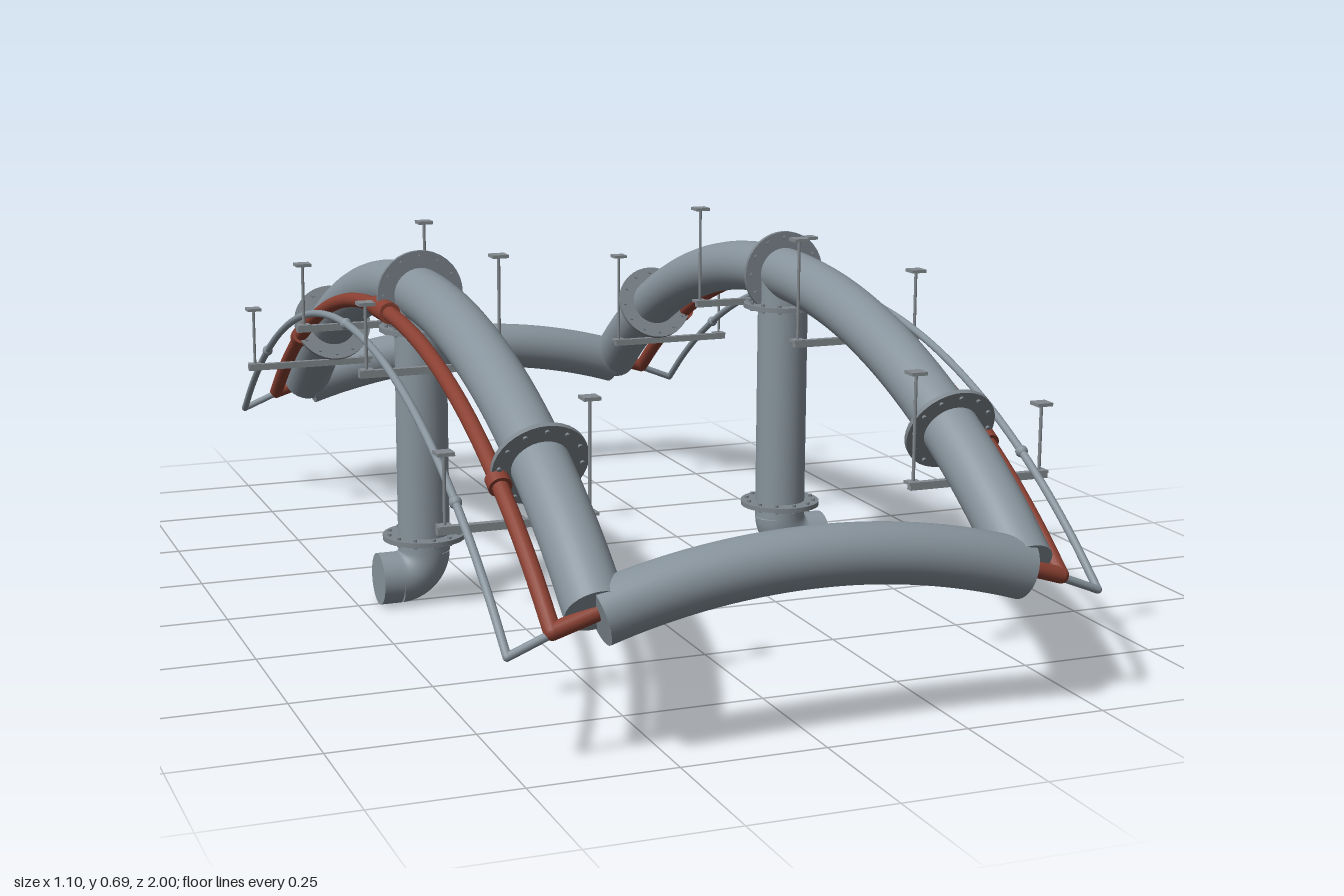
import * as THREE from 'three';

const V = (x, y, z) => new THREE.Vector3(x, y, z);
const UP = V(0, 1, 0);

export function createModel() {
  const model = new THREE.Group();
  model.name = 'pipeFrame';
  const mat = (name, color) => {
    const m = new THREE.MeshStandardMaterial({ color });
    m.name = name;
    return m;
  };
  const steel = mat('pipe steel', 0x87939c);
  const flangeGrey = mat('flange grey', 0x7c858c);
  const red = mat('oxide red', 0x8a4032);
  const bracket = mat('bracket grey', 0x82898e);

  const add = (name, geo, material, parent = model) => {
    const m = new THREE.Mesh(geo, material);
    m.name = name;
    parent.add(m);
    return m;
  };

  // straight round bar between two points
  const rod = (name, a, b, r, material, sides = 16, parent = model) => {
    const d = b.clone().sub(a);
    const m = add(name, new THREE.CylinderGeometry(r, r, d.length(), sides), material, parent);
    m.position.copy(a).add(b).multiplyScalar(0.5);
    m.quaternion.setFromUnitVectors(UP, d.normalize());
    return m;
  };

  // bent pipe through points, closed with flat ends
  const pipe = (name, points, r, material, segs = 64, sides = 32) => {
    const g = new THREE.Group();
    g.name = name;
    model.add(g);
    const curve = new THREE.CatmullRomCurve3(points);
    add(name + 'Wall', new THREE.TubeGeometry(curve, segs, r, sides), material, g);
    [0, 1].forEach((t) => {
      const cap = add(name + 'End', new THREE.CircleGeometry(r, sides), material, g);
      cap.position.copy(curve.getPoint(t));
      cap.quaternion.setFromUnitVectors(V(0, 0, 1), curve.getTangent(t).multiplyScalar(t ? 1 : -1));
    });
  };

  // circular arch: height lost at distance d from the crown
  const drop = (d, span, fall) => {
    const R = (span * span + fall * fall) / (2 * fall);
    return R - Math.sqrt(R * R - d * d);
  };
  const arch = (span, fall, at) => Array.from({ length: 25 }, (_, i) => {
    const d = span * (i / 12 - 1);
    return at(d, drop(d, span, fall));
  });
  const SPAN = 0.95, FALL = 0.34;
  const slope = (z) => {
    const e = 0.001;
    return V(0, (drop(z - e, SPAN, FALL) - drop(z + e, SPAN, FALL)) / (2 * e), 1).normalize();
  };

  // bolted disc facing along dir
  const flange = (name, pos, dir, r) => {
    const g = new THREE.Group();
    g.name = name;
    g.position.copy(pos);
    g.quaternion.setFromUnitVectors(UP, dir);
    model.add(g);
    add('flangeDisc', new THREE.CylinderGeometry(r, r, 0.009, 36), flangeGrey, g);
    for (let i = 0; i < 12; i++) {
      const a = (i / 12) * Math.PI * 2;
      const bolt = add('bolt', new THREE.CylinderGeometry(0.004, 0.004, 0.018, 6), flangeGrey, g);
      bolt.position.set(Math.cos(a) * r * 0.86, 0, Math.sin(a) * r * 0.86);
    }
  };

  // cross pipes at front and back
  for (const z of [-SPAN, SPAN]) {
    pipe('crossPipe', arch(0.367, 0.057, (d, h) => V(d, 0.3 - h, z)), 0.05, steel);
  }

  for (const s of [-1, 1]) {
    const X = s * 0.37, RX = s * 0.44, TX = s * 0.512;

    // three arched lines: main pipe, red pipe and thin conduit
    pipe('mainPipe', arch(SPAN, FALL, (d, h) => V(X, 0.59 - h, d)), 0.05, steel, 80);
    pipe('redPipe', arch(SPAN, FALL, (d, h) => V(RX, 0.565 - h, d)), 0.014, red, 80, 16);
    pipe('thinPipe', arch(SPAN, 0.35, (d, h) => V(TX, 0.543 - h, d)), 0.007, steel, 80, 12);

    // end links between the lines
    for (const z of [-SPAN, SPAN]) {
      rod('redLink', V(RX, 0.225, z), V(s * 0.36, 0.25, z), 0.014, red);
      rod('thinLink', V(TX, 0.193, z), V(RX, 0.222, z), 0.007, steel, 12);
      add('redCorner', new THREE.SphereGeometry(0.014, 16, 12), red).position.set(RX, 0.225, z);
      add('thinCorner', new THREE.SphereGeometry(0.007, 12, 8), steel).position.set(TX, 0.193, z);
    }

    // flanges and couplings along the arches
    for (const z of [-0.69, 0, 0.69]) {
      const h = drop(z, SPAN, FALL), dir = slope(z);
      flange('mainFlange', V(X, 0.59 - h, z), dir, 0.082);
      const half = dir.clone().multiplyScalar(z === 0 ? 0.045 : 0.012);
      const c = V(RX, 0.565 - h, z);
      rod('redCoupling', c.clone().sub(half), c.clone().add(half), 0.02, red, 20);
      add('thinCoupling', new THREE.SphereGeometry(0.011, 12, 8), steel)
        .position.set(TX, 0.543 - drop(z, SPAN, 0.35), z);
    }

    // leg with elbow turned outward
    rod('leg', V(X, 0.1, 0), V(X, 0.58, 0), 0.049, steel, 32);
    const B = 0.052;
    const bend = Array.from({ length: 9 }, (_, i) => {
      const a = (i / 8) * Math.PI / 2;
      return V(X + s * B * (1 - Math.cos(a)), 0.05 + B * (1 - Math.sin(a)), 0);
    });
    pipe('elbow', bend, 0.049, steel, 20);
    rod('outlet', V(X + s * B, 0.05, 0), V(s * 0.46, 0.05, 0), 0.049, steel, 32);
    flange('legFlange', V(X, 0.127, 0), UP, 0.078);
    flange('legTopFlange', V(X, 0.527, 0), UP, 0.077);

    // hanger brackets: cross bar, two rods and their top plates
    for (const [z, y] of [[-0.71, 0.332], [-0.238, 0.495], [0.238, 0.495], [0.71, 0.332]]) {
      const bar = add('hangerBar', new THREE.BoxGeometry(0.265, 0.013, 0.013), bracket);
      bar.position.set(s * 0.417, y, z);
      for (const [x, len] of [[0.536, 0.125], [0.292, 0.196]]) {
        rod('hangerRod', V(s * x, y, z), V(s * x, y + len, z), 0.003, bracket, 8);
        add('hangerPlate', new THREE.BoxGeometry(0.029, 0.006, 0.029), bracket)
          .position.set(s * x, y + len, z);
        add('hangerNut', new THREE.BoxGeometry(0.024, 0.005, 0.024), bracket)
          .position.set(s * x, y + 0.006, z);
      }
    }
  }
  return model;
}
